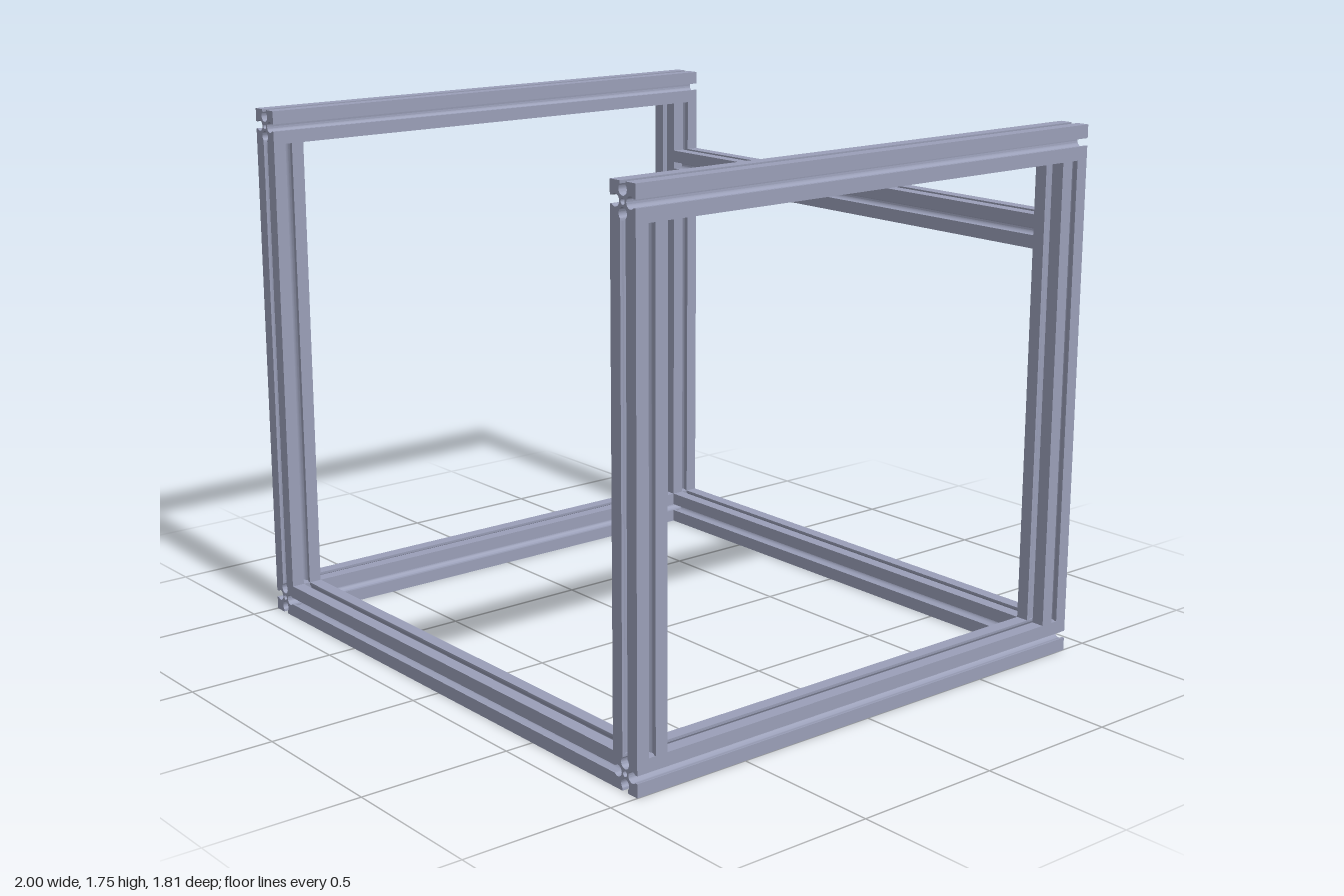
import * as THREE from 'three';
import { toCreasedNormals } from 'three/addons/utils/BufferGeometryUtils.js';

const SIZE = 0.11, HALF = SIZE / 2;

// Square slotted profile: four round-bottomed slots and a centre bore
function slottedProfile() {
  const neck = 0.012, lobe = 0.018, lobeCentre = 0.033;
  const open = Math.asin(neck / lobe), steps = 14;
  const points = [];
  for (let side = 0; side < 4; side++) {
    const a = side * Math.PI / 2;
    const add = (out, across) => points.push(new THREE.Vector2(
      out * Math.cos(a) - across * Math.sin(a),
      out * Math.sin(a) + across * Math.cos(a)));
    add(HALF, -HALF);
    add(HALF, -neck);
    for (let i = 0; i <= steps; i++) {
      const t = -open - (2 * Math.PI - 2 * open) * i / steps;
      add(lobeCentre + lobe * Math.cos(t), lobe * Math.sin(t));
    }
    add(HALF, neck);
  }
  const shape = new THREE.Shape(points);
  shape.holes.push(new THREE.Path().absarc(0, 0, 0.009, 0, Math.PI * 2, true));
  return shape;
}

export function createModel() {
  const model = new THREE.Group();
  model.name = 'slottedFrame';
  const aluminium = new THREE.MeshStandardMaterial({ color: 0x9a9fb8 });
  aluminium.name = 'greyBlueAluminium';
  const profile = slottedProfile();

  // Bar centred on its own length, running along z
  const barGeometry = (length) => {
    const g = new THREE.ExtrudeGeometry(profile, { depth: length, bevelEnabled: false, curveSegments: 8 });
    g.translate(0, 0, -length / 2);
    return toCreasedNormals(g, 0.6);
  };

  const width = 2, depth = 1.81, height = 1.745;
  const x = width / 2 - HALF, z = depth / 2 - HALF;
  const sideRail = barGeometry(depth);
  const post = barGeometry(height - 2 * SIZE).rotateX(Math.PI / 2);
  const crossRail = barGeometry(width - 2 * SIZE).rotateY(Math.PI / 2);

  const add = (name, geometry, px, py, pz) => {
    const mesh = new THREE.Mesh(geometry, aluminium);
    mesh.name = name;
    mesh.position.set(px, py, pz);
    model.add(mesh);
  };

  // Two side frames: full-depth rails with posts between them
  for (const [side, s] of [['left', 1], ['right', -1]]) {
    add(side + 'BottomRail', sideRail, s * x, HALF, 0);
    add(side + 'TopRail', sideRail, s * x, height - HALF, 0);
    add(side + 'FrontPost', post, s * x, height / 2, z);
    add(side + 'BackPost', post, s * x, height / 2, -z);
  }

  // Cross rails joining the side frames
  add('frontBottomCrossRail', crossRail, 0, HALF, z);
  add('backBottomCrossRail', crossRail, 0, HALF, -z);
  add('backUpperCrossRail', crossRail, 0, 1.403, -z);

  return model;
}
